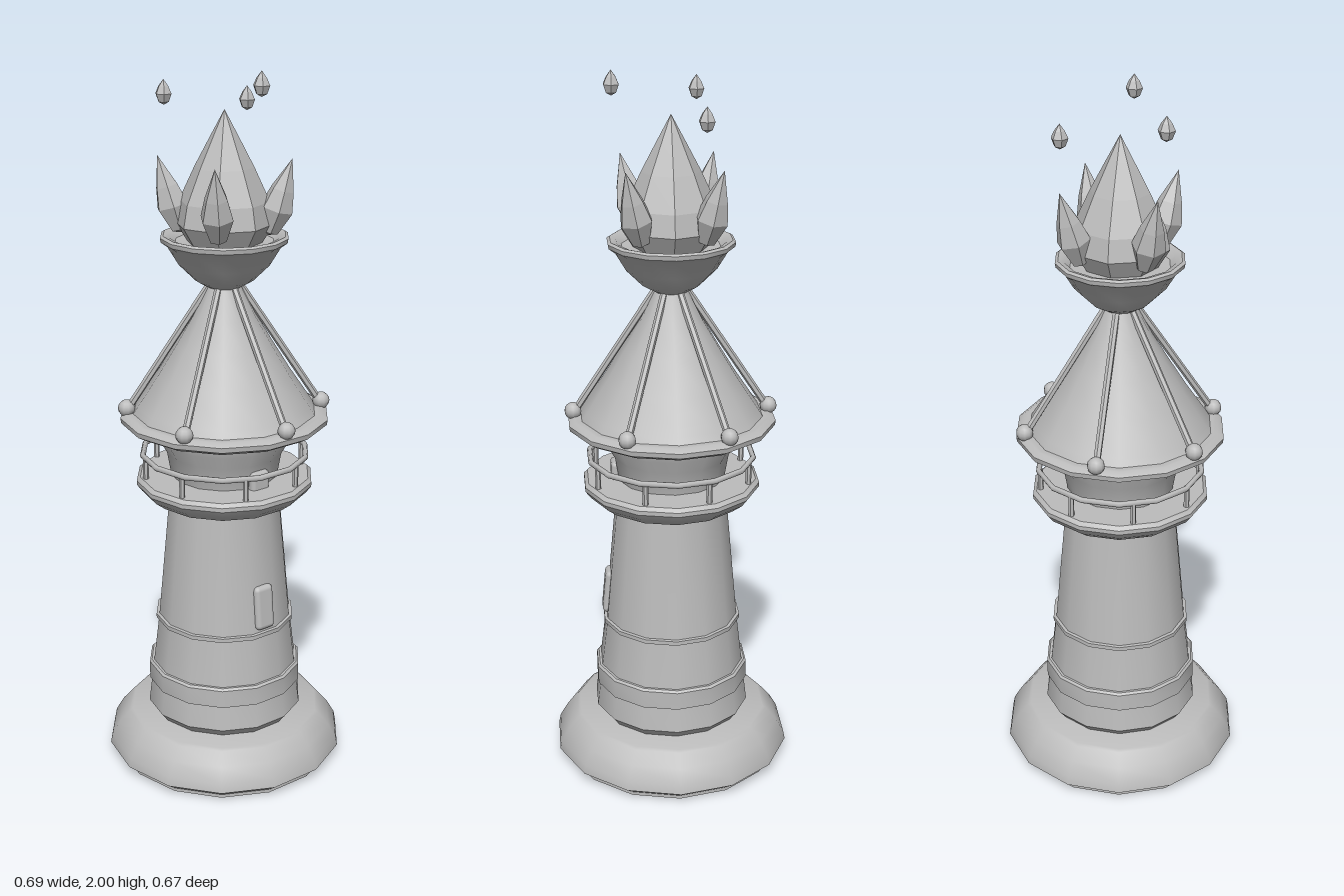
import * as THREE from 'three';
import { toCreasedNormals } from 'three/addons/utils/BufferGeometryUtils.js';
import { RoundedBoxGeometry } from 'three/addons/geometries/RoundedBoxGeometry.js';

const SIDES = 14;

export function createModel() {
  const model = new THREE.Group();
  model.name = 'crystalTower';
  const stone = new THREE.MeshStandardMaterial({ color: 0xbcbcbc });
  stone.name = 'stone grey';

  const add = (name, geometry, parent = model) => {
    const mesh = new THREE.Mesh(geometry, stone);
    mesh.name = name;
    parent.add(mesh);
    return mesh;
  };
  const group = (name) => {
    const g = new THREE.Group();
    g.name = name;
    model.add(g);
    return g;
  };
  // Turned profile, listed from bottom to top as [radius, height]
  const turned = (profile, sides = SIDES, crease = 0.6) => {
    const g = new THREE.LatheGeometry(profile.map(([r, y]) => new THREE.Vector2(r, y)), sides);
    g.rotateY(Math.PI / 2);
    return toCreasedNormals(g, crease);
  };
  const polar = (r, angle, y) => new THREE.Vector3(r * Math.cos(angle), y, r * Math.sin(angle));
  // Straight bar between two points
  const bar = (name, a, b, radius, sides, parent) => {
    const mesh = add(name, toCreasedNormals(new THREE.CylinderGeometry(radius, radius, a.distanceTo(b), sides), 0.9), parent);
    mesh.position.copy(a).add(b).multiplyScalar(0.5);
    mesh.quaternion.setFromUnitVectors(new THREE.Vector3(0, 1, 0), b.clone().sub(a).normalize());
    return mesh;
  };

  // Plinth and tapering shaft
  add('plinth', turned([[0, 0], [0.31, 0], [0.31, 0.01], [0.343, 0.035], [0.338, 0.06], [0.315, 0.1], [0.285, 0.135], [0.275, 0.14], [0, 0.14]]));
  add('shaft', turned([[0, 0.13], [0.205, 0.14], [0.225, 0.165], [0.217, 0.23], [0.192, 0.44], [0.158, 0.81], [0, 0.81]]));
  add('lowerBand', turned([[0.2, 0.235], [0.222, 0.238], [0.222, 0.29], [0.216, 0.296], [0.19, 0.296]]));
  add('upperBand', turned([[0.18, 0.43], [0.2, 0.432], [0.2, 0.444], [0.18, 0.447]]));

  // Window and gallery door on the front
  const window = add('window', new RoundedBoxGeometry(0.062, 0.13, 0.03, 2, 0.014));
  window.position.set(0, 0.518, 0.18);
  window.rotation.x = -0.09;
  const door = add('galleryDoor', new RoundedBoxGeometry(0.06, 0.08, 0.03, 2, 0.012));
  door.position.set(0, 0.882, 0.155);

  // Gallery with railing
  add('gallery', turned([[0, 0.8], [0.16, 0.8], [0.205, 0.807], [0.235, 0.83], [0.25, 0.85], [0.25, 0.862], [0.24, 0.872], [0, 0.872]]));
  const railing = group('railing');
  const rail = new THREE.TorusGeometry(0.232, 0.008, 6, SIDES);
  rail.rotateX(Math.PI / 2);
  add('handrail', rail, railing).position.y = 0.935;
  for (let i = 0; i < 8; i++) {
    const a = (i + 0.5) * Math.PI / 4;
    bar('railPost', polar(0.226, a, 0.865), polar(0.226, a, 0.935), 0.008, 6, railing);
  }
  add('lanternRoom', turned([[0, 0.86], [0.15, 0.865], [0.163, 0.94], [0.185, 0.98], [0.19, 1.01], [0.175, 1.03], [0, 1.03]]));

  // Conical roof with ribs ending in knobs
  add('roofRim', turned([[0, 1.022], [0.265, 1.022], [0.29, 1.036], [0.292, 1.05], [0.276, 1.06], [0.265, 1.06], [0, 1.06]]));
  add('roof', turned([[0.262, 1.05], [0.243, 1.08], [0.186, 1.165], [0.134, 1.25], [0.087, 1.33], [0.045, 1.415], [0, 1.415]]));
  const ribs = group('roofRibs');
  for (let i = 0; i < 6; i++) {
    const a = Math.PI / 6 + i * Math.PI / 3;
    bar('rib', polar(0.268, a, 1.07), polar(0.045, a, 1.41), 0.01, 6, ribs);
    add('ribKnob', new THREE.SphereGeometry(0.024, 10, 8), ribs).position.copy(polar(0.272, a, 1.072));
  }

  // Bowl holding the crystals
  add('bowl', turned([[0, 1.405], [0.045, 1.41], [0.08, 1.43], [0.125, 1.475], [0.155, 1.525], [0.173, 1.538], [0.175, 1.55], [0.167, 1.555], [0.15, 1.55], [0.135, 1.535], [0, 1.53]]));

  // Faceted crystals, each turned profile left flat on every side
  add('mainCrystal', turned([[0, 1.53], [0.1, 1.53], [0.134, 1.585], [0.122, 1.645], [0.08, 1.735], [0.035, 1.82], [0, 1.885]], 8, 0.01));
  const shards = group('sideCrystals');
  for (let i = 0; i < 4; i++) {
    const a = Math.PI / 4 + i * Math.PI / 2;
    const shard = add('sideCrystal', turned([[0, 0], [0.024, 0.01], [0.046, 0.075], [0.032, 0.13], [0, 0.215]], 6, 0.01), shards);
    shard.position.copy(polar(0.118, a, 1.555));
    shard.quaternion.setFromUnitVectors(new THREE.Vector3(0, 1, 0), polar(0.3, a, 1).normalize());
  }

  // Floating sparks
  const sparks = group('sparks');
  for (const [x, y, z] of [[-0.137, 1.932, -0.08], [0, 1.967, 0.155], [0.137, 1.893, -0.08]]) {
    add('spark', turned([[0, -0.033], [0.015, -0.025], [0.023, -0.004], [0.014, 0.015], [0, 0.033]], 6, 0.01), sparks).position.set(x, y, z);
  }
  return model;
}
